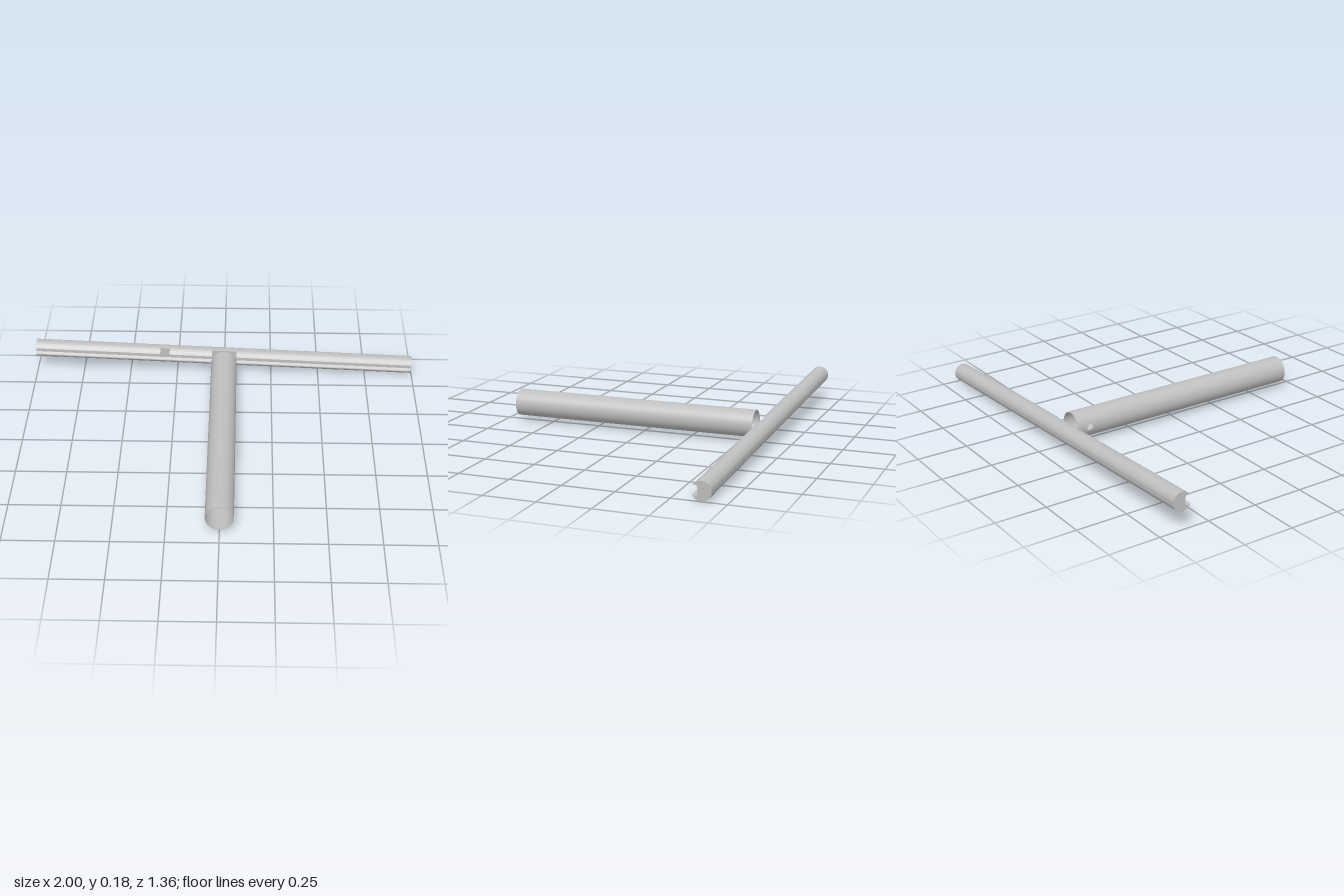
import * as THREE from 'three';
import { toCreasedNormals } from 'three/addons/utils/BufferGeometryUtils.js';

export function createModel() {
  const model = new THREE.Group();
  const steel = new THREE.MeshStandardMaterial({ color: 0xbfbfbf, side: THREE.DoubleSide });
  steel.name = 'steel grey';
  const add = (parent, name, geo) => {
    const mesh = new THREE.Mesh(geo, steel);
    mesh.name = name;
    parent.add(mesh);
    return mesh;
  };

  // Grooved crossbar: profiles in (-z, y), extruded along x
  const R = 0.045, FLOOR = 0.017;
  const mouth = Math.asin(0.019 / R), flat = Math.acos(FLOOR / R);
  const groove = [[-0.031, 0.025], [-0.024, 0.025], [-FLOOR, 0.014]];
  const profile = (lowerLip, upperLip) => {
    const s = new THREE.Shape();
    s.absarc(0, 0, R, -(Math.PI - (lowerLip ? mouth : flat)), Math.PI - (upperLip ? mouth : flat), false);
    if (upperLip) groove.forEach(([a, b]) => s.lineTo(a, b));
    if (lowerLip) [...groove].reverse().forEach(([a, b]) => s.lineTo(a, -b));
    s.closePath();
    return s;
  };
  const crossbar = new THREE.Group();
  crossbar.name = 'crossbar';
  crossbar.position.set(0, 0.0885, -0.636);
  crossbar.rotation.z = -0.0435;
  model.add(crossbar);
  const sections = [
    ['barRightEnd', -0.999, -0.34, true, true],
    ['barLipNotch', -0.34, -0.29, true, false],
    ['barRightMiddle', -0.29, -0.065, true, true],
    ['barCentreFlat', -0.065, 0.065, false, false],
    ['barLeft', 0.065, 0.999, true, true],
  ];
  for (const [name, x0, x1, lower, upper] of sections) {
    const geo = new THREE.ExtrudeGeometry(profile(lower, upper), {
      depth: x1 - x0, bevelEnabled: false, curveSegments: 56,
    });
    geo.rotateY(Math.PI / 2).translate(x0, 0, 0);
    add(crossbar, name, toCreasedNormals(geo, 0.4));
  }

  // Hollow stem along z, with a small round hole in its right wall near the back
  const RO = 0.067, RI = 0.064, BACK = -0.571, JOIN = -0.45, FRONT = 0.681;
  const HOLE_Z = -0.505, HOLE_R = 0.017, WINDOW = 0.42;
  const stem = new THREE.Group();
  stem.name = 'stem';
  stem.position.y = 0.0885;
  model.add(stem);
  const wall = (name, r, z0, z1, start, length) => {
    const geo = new THREE.CylinderGeometry(r, r, z1 - z0, 64, 1, true, start, length);
    add(stem, name, geo.rotateX(Math.PI / 2).translate(0, 0, (z0 + z1) / 2));
  };
  // Wall patch around the hole, drawn flat as (angle, z) and bent round
  const patch = (name, r) => {
    const s = new THREE.Shape();
    const n = 12;
    for (let i = 0; i <= n; i++) {
      const u = WINDOW * (2 * i / n - 1);
      i ? s.lineTo(u, BACK) : s.moveTo(u, BACK);
    }
    for (let i = n; i >= 0; i--) s.lineTo(WINDOW * (2 * i / n - 1), JOIN);
    s.closePath();
    const hole = new THREE.Path();
    hole.absellipse(0, HOLE_Z, HOLE_R / RO, HOLE_R, 0, Math.PI * 2, true);
    s.holes.push(hole);
    const geo = new THREE.ShapeGeometry(s, 32);
    const p = geo.attributes.position, nrm = geo.attributes.normal;
    for (let i = 0; i < p.count; i++) {
      const u = p.getX(i), z = p.getY(i);
      p.setXYZ(i, -r * Math.cos(u), -r * Math.sin(u), z);
      nrm.setXYZ(i, -Math.cos(u), -Math.sin(u), 0);
    }
    add(stem, name, geo);
  };
  for (const [side, r] of [['Outer', RO], ['Inner', RI]]) {
    wall(`stem${side}Wall`, r, JOIN, FRONT, 0, Math.PI * 2);
    wall(`stem${side}BackWall`, r, BACK, JOIN, Math.PI * 1.5 + WINDOW, Math.PI * 2 - 2 * WINDOW);
    patch(`stem${side}HoleWall`, r);
  }
  // Rims closing the wall thickness
  add(stem, 'stemFrontRim', new THREE.RingGeometry(RI, RO, 64)).position.z = FRONT;
  add(stem, 'stemBackRim', new THREE.RingGeometry(RI, RO, 64).rotateY(Math.PI)).position.z = BACK;

  return model;
}
